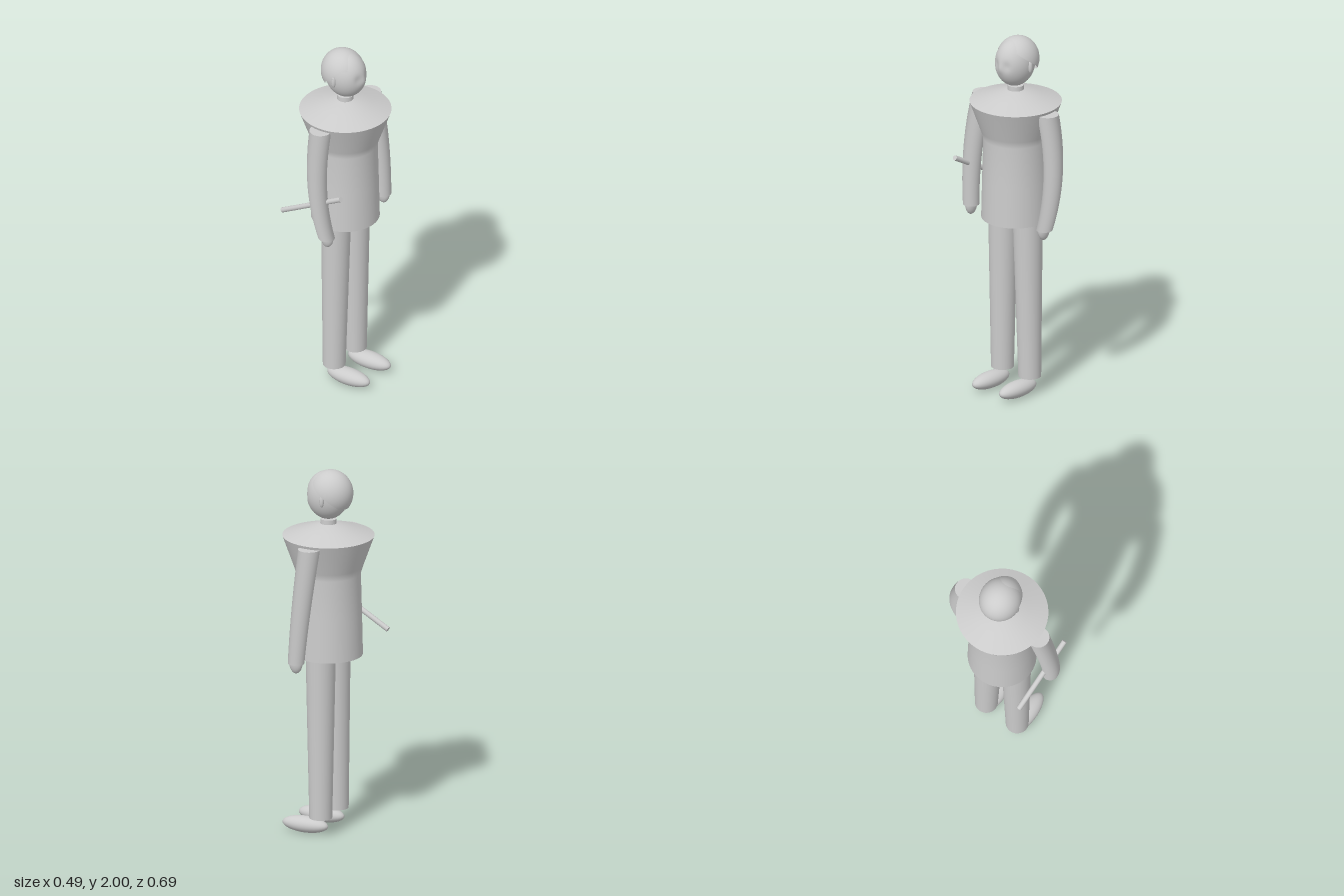
import * as THREE from 'three';

const grey = new THREE.MeshStandardMaterial({ color: 0xcccccc });
const greyDouble = new THREE.MeshStandardMaterial({ color: 0xcccccc, side: THREE.DoubleSide });

function add(parent, name, geometry, material = grey) {
  const mesh = new THREE.Mesh(geometry, material);
  mesh.name = name;
  parent.add(mesh);
  return mesh;
}

// Applies a rule to every vertex, then refreshes the normals if asked
function reshape(geometry, rule) {
  const p = geometry.attributes.position;
  const v = new THREE.Vector3();
  for (let i = 0; i < p.count; i++) {
    v.fromBufferAttribute(p, i);
    rule(v);
    p.setXYZ(i, v.x, v.y, v.z);
  }
  return geometry;
}

function ellipsoid(rx, ry, rz, x, y, z, w = 32, h = 20) {
  return new THREE.SphereGeometry(1, w, h).scale(rx, ry, rz).translate(x, y, z);
}

// Tapered limb running between two points, bowed in the middle
function limb(rTop, rBottom, top, bottom, bowX, bowZ) {
  const h = top.y - bottom.y;
  const g = new THREE.CylinderGeometry(rTop, rBottom, h, 28, 14);
  return reshape(g, v => {
    const t = v.y / h + 0.5;
    const bow = 4 * t * (1 - t);
    v.x += THREE.MathUtils.lerp(bottom.x, top.x, t) + bow * bowX;
    v.z += THREE.MathUtils.lerp(bottom.z, top.z, t) + bow * bowZ;
    v.y += (top.y + bottom.y) / 2;
  });
}

// Rod between two points
function rod(a, b, r) {
  const dir = b.clone().sub(a);
  const q = new THREE.Quaternion().setFromUnitVectors(new THREE.Vector3(0, 1, 0), dir.clone().normalize());
  const mid = a.clone().add(b).multiplyScalar(0.5);
  return new THREE.CylinderGeometry(r, r, dir.length(), 12).applyQuaternion(q).translate(mid.x, mid.y, mid.z);
}

const gauss = (a, b, s) => Math.exp(-(a * a + b * b) / (s * s));

// Head with soft eye sockets and a small nose, looking along +x
function headGeometry() {
  const g = new THREE.SphereGeometry(1, 64, 48);
  reshape(g, v => {
    const { x, y, z } = v;
    let px = 0.115 * x + 0.004;
    if (x > 0) {
      px -= 0.008 * (gauss(y - 0.05, z - 0.36, 0.2) + gauss(y - 0.05, z + 0.36, 0.2));
      px += 0.006 * gauss((y + 0.1) * 0.7, z, 0.14);
    }
    v.set(px, 0.132 * y + 1.862, 0.1 * z);
  });
  g.computeVertexNormals();
  return g;
}

// Hair shell: only the whole quads above the slanted hairline are kept, giving a stepped edge
function hairGeometry() {
  const g = ellipsoid(0.12, 0.126, 0.112, -0.015, 1.874, 0, 40, 30);
  const p = g.attributes.position;
  const idx = g.index.array;
  const kept = [];
  for (let i = 0; i < idx.length; i += 3) {
    let x = 0, y = 0;
    for (let k = 0; k < 3; k++) {
      x += p.getX(idx[i + k]) / 3;
      y += p.getY(idx[i + k]) / 3;
    }
    if (y > 1.885 + 0.8 * x) kept.push(idx[i], idx[i + 1], idx[i + 2]);
  }
  g.setIndex(kept);
  return g;
}

export function createModel() {
  const model = new THREE.Group();
  model.name = 'standingFigure';

  // Coat: separate lathes keep the shoulder and hem edges sharp
  const coat = new THREE.Group();
  coat.name = 'coat';
  model.add(coat);
  const lathe = pts => new THREE.LatheGeometry(pts.map(([r, y]) => new THREE.Vector2(r, y)), 48);
  add(coat, 'coatBody', lathe([[0.183, 0.98], [0.178, 1.2], [0.172, 1.43], [0.184, 1.47], [0.245, 1.64]]), greyDouble);
  add(coat, 'coatShoulders', lathe([[0.245, 1.64], [0.14, 1.675], [0.045, 1.705], [0, 1.705]]), greyDouble);
  add(coat, 'coatHem', lathe([[0, 0.95], [0.183, 0.98]]), greyDouble);

  // Neck and head
  add(model, 'neck', new THREE.CylinderGeometry(0.043, 0.045, 0.09, 28).translate(0, 1.685, 0));
  const head = new THREE.Group();
  head.name = 'head';
  model.add(head);
  add(head, 'face', headGeometry());
  add(head, 'hair', hairGeometry(), greyDouble);

  for (const [side, s] of [['right', 1], ['left', -1]]) {
    const at = (x, y, z) => new THREE.Vector3(x, y, z * s);

    // Ear
    add(head, side + 'Ear', ellipsoid(0.013, 0.036, 0.012, -0.008, 1.855, 0.1 * s, 16, 12));

    // Arm and hand
    const arm = new THREE.Group();
    arm.name = side + 'Arm';
    model.add(arm);
    add(arm, side + 'Sleeve', limb(0.059, 0.044, at(0, 1.625, 0.235), at(0.061, 0.992, 0.268), -0.012, 0.041 * s));
    add(arm, side + 'Hand', ellipsoid(0.038, 0.062, 0.027, 0.063, 0.998, 0.266 * s, 20, 16));

    // Leg and foot
    const leg = new THREE.Group();
    leg.name = side + 'Leg';
    model.add(leg);
    add(leg, side + 'Trouser', limb(0.08, 0.061, at(0.002, 1.0, 0.09), at(-0.003, 0.095, 0.1), 0, 0));
    add(leg, side + 'Foot', ellipsoid(0.132, 0.044, 0.053, 0.088, 0.046, 0.099 * s));
  }

  // Stick held across the right forearm
  add(model, 'stick', rod(new THREE.Vector3(-0.222, 1.065, 0.266), new THREE.Vector3(0.165, 1.278, 0.288), 0.014));

  return model;
}
